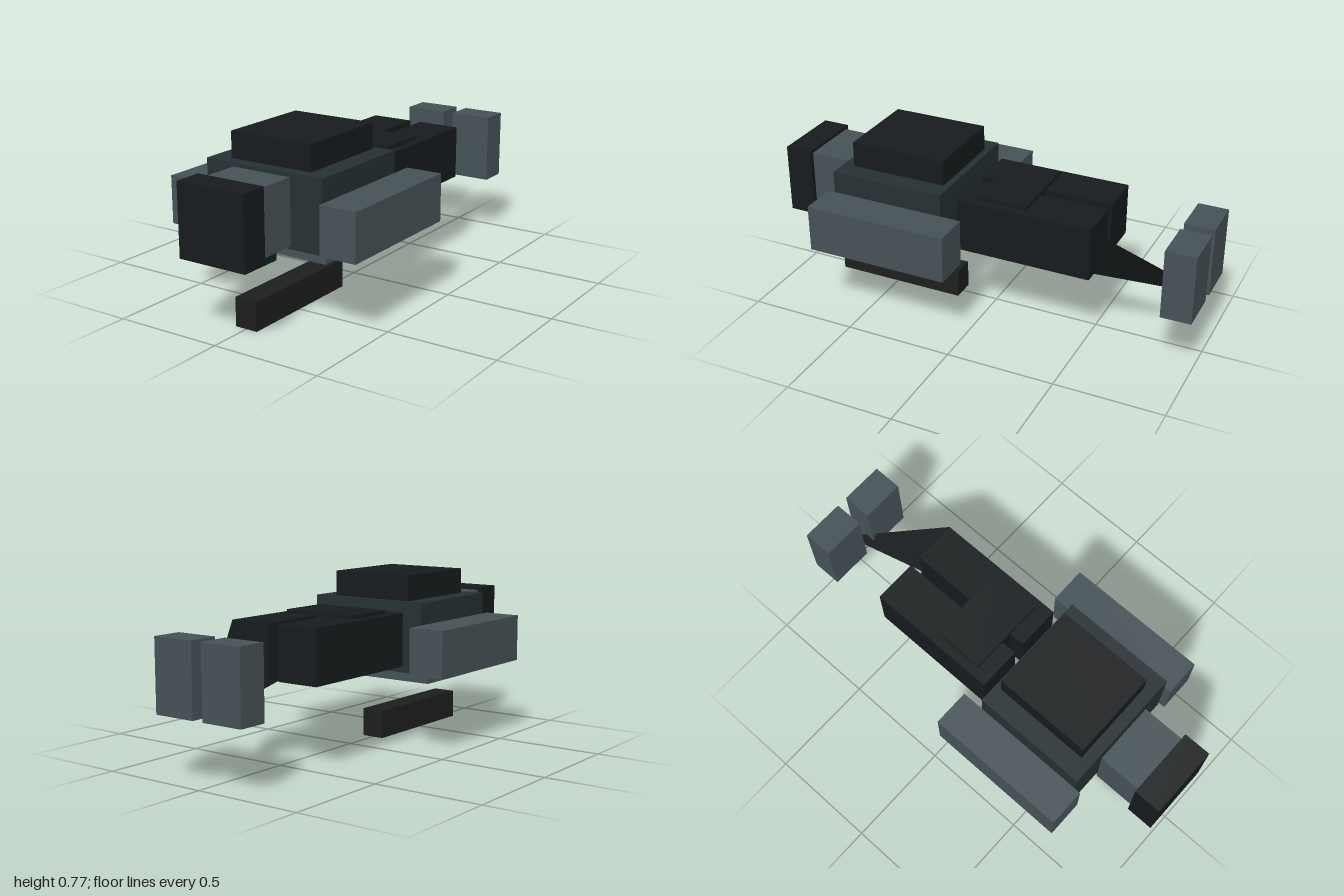
import * as THREE from 'three';

const material = (color, side = THREE.FrontSide) =>
  new THREE.MeshStandardMaterial({ color, flatShading: true, side });

const black = material(0x171b1d);
const charcoal = material(0x263033);
const slate = material(0x465257);
const gunBlack = material(0x1c1f1e);
const teal = material(0x0f2226);

// Box given by its [min, max] extents along each axis
function block(name, mat, [x0, x1], [y0, y1], [z0, z1]) {
  const mesh = new THREE.Mesh(new THREE.BoxGeometry(x1 - x0, y1 - y0, z1 - z0), mat);
  mesh.position.set((x0 + x1) / 2, (y0 + y1) / 2, (z0 + z1) / 2);
  mesh.name = name;
  return mesh;
}

export function createModel() {
  const model = new THREE.Group();
  model.name = 'blockVehicle';

  // Nose and neck
  model.add(
    block('nose', black, [-0.166, 0.165], [0.335, 0.658], [0.872, 1]),
    block('noseHousing', slate, [-0.147, 0.143], [0.353, 0.644], [0.675, 0.872]),
    block('chin', teal, [-0.123, 0.123], [0.31, 0.354], [0.745, 0.845]),
    block('neck', black, [-0.053, 0.053], [0.43, 0.57], [0.66, 0.68]),
  );

  // Body with roof and belly plate
  model.add(
    block('body', charcoal, [-0.295, 0.295], [0.335, 0.658], [0.13, 0.665]),
    block('roof', black, [-0.205, 0.203], [0.656, 0.775], [0.16, 0.612]),
    block('bellyPlate', slate, [-0.257, 0.257], [0.27, 0.337], [0.25, 0.592]),
    block('gun', gunBlack, [-0.054, 0.054], [0, 0.13], [0.175, 0.798]),
    block('waist', black, [-0.187, 0.185], [0.372, 0.632], [-0.227, 0.01]),
  );

  // Side pods
  for (const [side, x] of [['right', [-0.473, -0.302]], ['left', [0.3, 0.471]]])
    model.add(block(side + 'Pod', slate, x, [0.345, 0.56], [0.032, 0.695]));

  // Rear legs and tail blocks
  for (const [side, x] of [['right', [-0.23, -0.028]], ['left', [0.025, 0.227]]]) {
    model.add(
      block(side + 'Leg', black, x, [0.372, 0.615], [-0.54, 0.083]),
      block(side + 'Foot', slate, x, [0.278, 0.598], [-1, -0.863]),
    );
  }

  // Thin triangular web from the left leg to the tail
  const web = new THREE.BufferGeometry().setFromPoints([
    new THREE.Vector3(0.227, 0.372, 0.083),
    new THREE.Vector3(-0.028, 0.278, -1),
    new THREE.Vector3(0.227, 0.615, -0.54),
  ]);
  web.computeVertexNormals();
  const webMesh = new THREE.Mesh(web, material(0x171b1d, THREE.DoubleSide));
  webMesh.name = 'legWeb';
  model.add(webMesh);

  return model;
}
